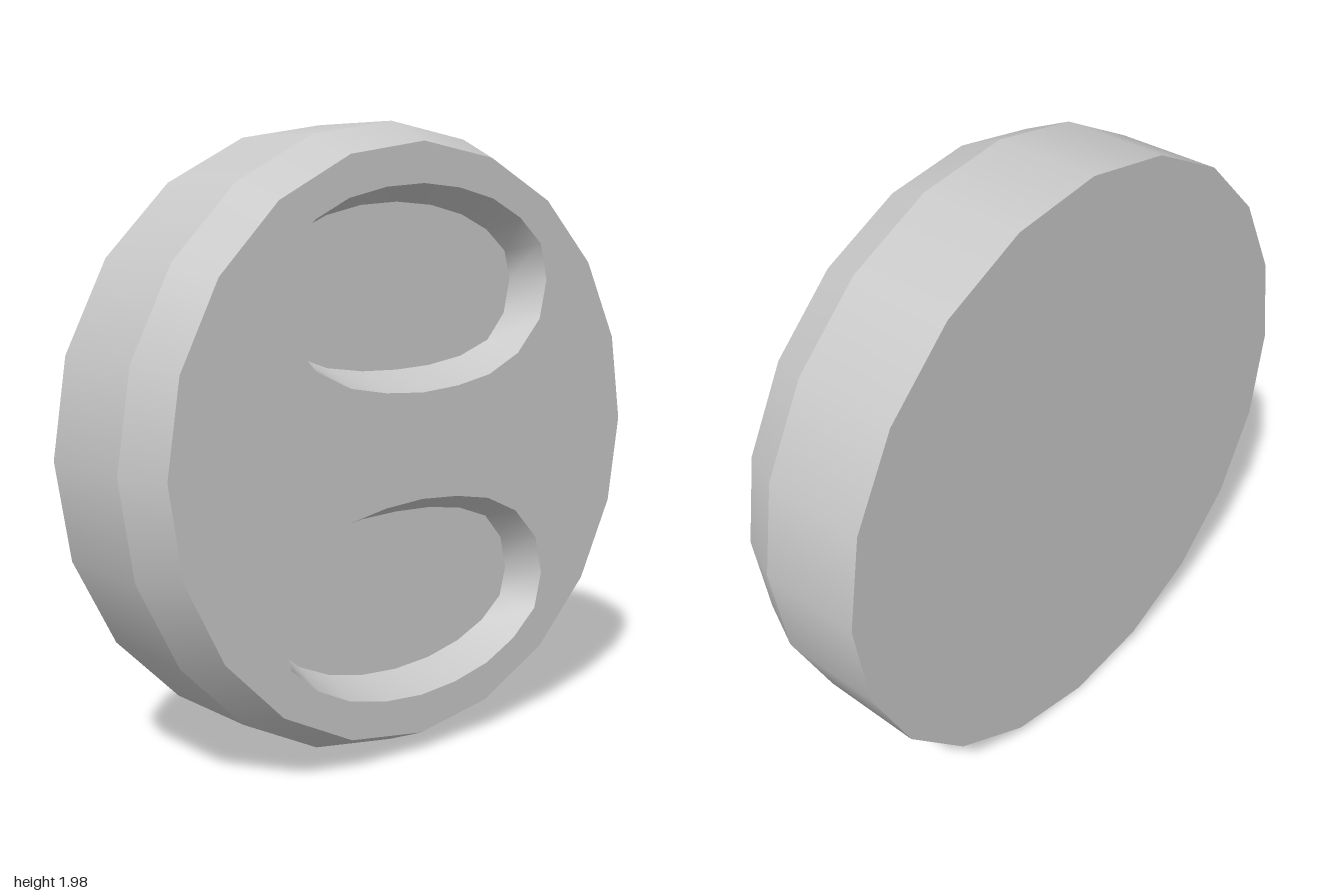
import * as THREE from 'three';

const SIDES = 20, RY = 0.992, FRONT = 0.25, SHOULDER = 0.1, FLOOR = 0.125;

// Right half of the upper recess, top to bottom, relative to the disc centre
const RIM = [[0, 0.802], [0.15, 0.79], [0.295, 0.757], [0.42, 0.697], [0.52, 0.612], [0.55, 0.494],
  [0.52, 0.367], [0.42, 0.262], [0.29, 0.202], [0.15, 0.177], [0, 0.167]];
const BASE = [[0, 0.747], [0.145, 0.737], [0.28, 0.707], [0.395, 0.657], [0.48, 0.587], [0.505, 0.494],
  [0.48, 0.382], [0.405, 0.297], [0.28, 0.252], [0.14, 0.232], [0, 0.227]];

// Closed counter-clockwise loop from a half outline; flip = -1 gives the lower recess
function loopFrom(half, flip) {
  const left = half.map(([x, y]) => new THREE.Vector2(-x, y * flip));
  const right = half.slice(1, -1).reverse().map(([x, y]) => new THREE.Vector2(x, y * flip));
  const loop = [...left, ...right];
  return flip < 0 ? loop.reverse() : loop;
}

// Sloping inner wall between the rim and floor loops
function wallGeometry(rim, base) {
  const n = rim.length, positions = [], index = [];
  rim.forEach(p => positions.push(p.x, p.y, FRONT));
  base.forEach(p => positions.push(p.x, p.y, FLOOR));
  for (let i = 0; i < n; i++) {
    const j = (i + 1) % n;
    index.push(i, j, n + i, j, n + j, n + i);
  }
  const g = new THREE.BufferGeometry();
  g.setAttribute('position', new THREE.Float32BufferAttribute(positions, 3));
  g.setIndex(index);
  g.computeVertexNormals();
  return g;
}

// Open band around the disc between two depths
function bandGeometry(rFront, rBack, zFront, zBack) {
  return new THREE.CylinderGeometry(rFront, rBack, zFront - zBack, SIDES, 1, true)
    .rotateX(Math.PI / 2)
    .translate(0, 0, (zFront + zBack) / 2)
    .scale(1, RY, 1);
}

export function createModel() {
  const grey = new THREE.MeshStandardMaterial({ color: 0xc8c8c8 });
  grey.name = 'grey';
  const model = new THREE.Group();
  model.name = 'recessedDisc';

  const add = (name, geometry) => {
    const mesh = new THREE.Mesh(geometry, grey);
    mesh.name = name;
    mesh.position.y = RY;
    model.add(mesh);
  };

  // Outer body
  add('sideBand', bandGeometry(1, 1, SHOULDER, -FRONT));
  add('bevel', bandGeometry(0.935, 1, FRONT, SHOULDER));
  add('backFace', new THREE.CircleGeometry(1, SIDES).rotateY(Math.PI).translate(0, 0, -FRONT).scale(1, RY, 1));

  // Front face with two oval openings, each with a wall and a floor
  const face = new THREE.Shape();
  const outline = [];
  for (let i = 0; i < SIDES; i++) {
    const a = (i / SIDES) * Math.PI * 2;
    outline.push(new THREE.Vector2(0.935 * Math.cos(a), 0.935 * RY * Math.sin(a)));
  }
  face.setFromPoints(outline);
  for (const [label, flip] of [['upper', 1], ['lower', -1]]) {
    const rim = loopFrom(RIM, flip), base = loopFrom(BASE, flip);
    face.holes.push(new THREE.Path(rim));
    add(label + 'RecessWall', wallGeometry(rim, base));
    add(label + 'RecessFloor', new THREE.ShapeGeometry(new THREE.Shape(base)).translate(0, 0, FLOOR));
  }
  add('frontFace', new THREE.ShapeGeometry(face).translate(0, 0, FRONT));

  return model;
}
